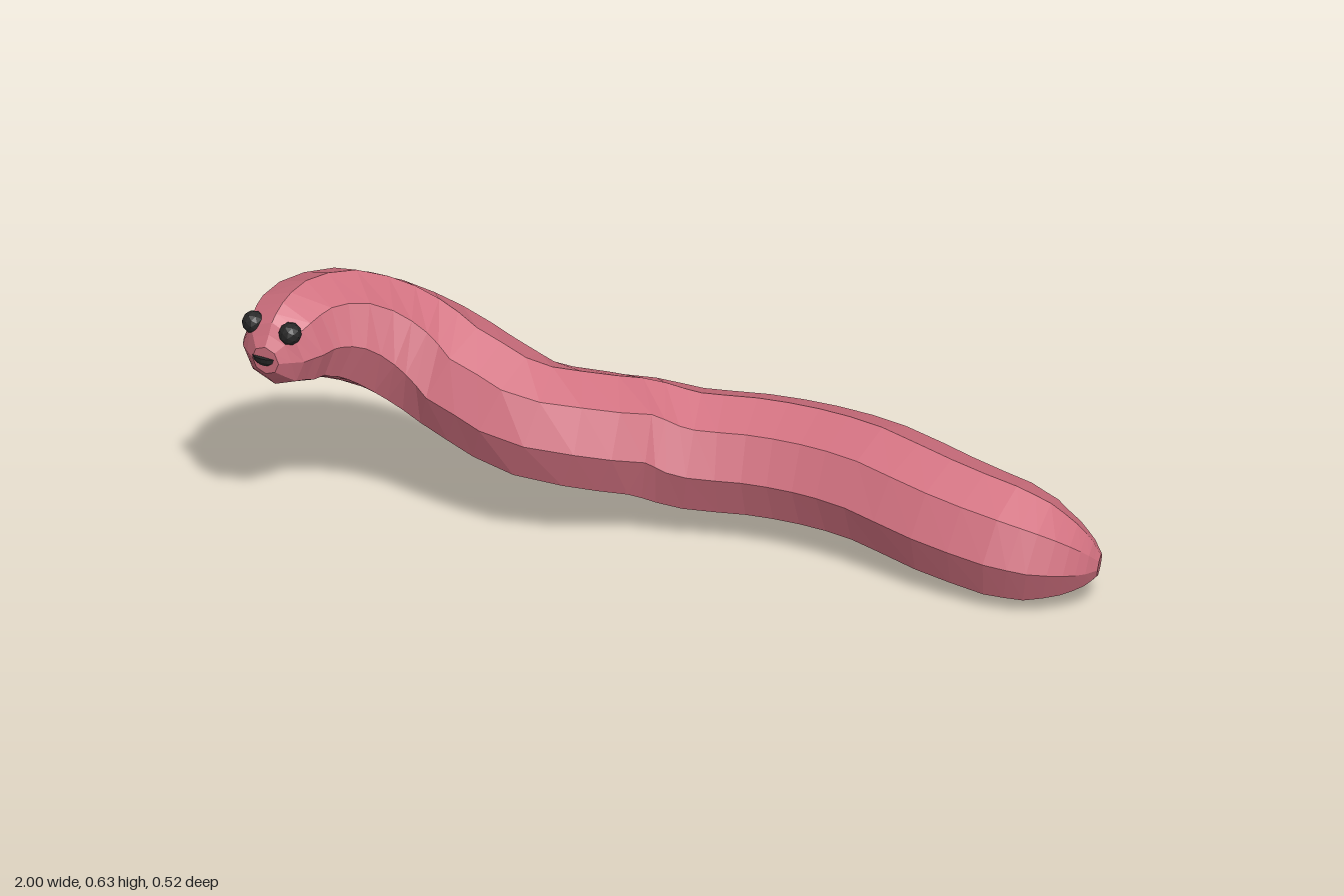
import * as THREE from 'three';

const SIDES = 8;

// Spine from head to tail: x, y, z, radius
const SPINE = [
  [-0.928, 0.5, 0.247, 0.035],
  [-0.917, 0.502, 0.212, 0.083],
  [-0.9, 0.508, 0.165, 0.108],
  [-0.87, 0.513, 0.1, 0.124],
  [-0.8, 0.497, 0.026, 0.137],
  [-0.7, 0.448, -0.028, 0.142],
  [-0.6, 0.397, -0.042, 0.142],
  [-0.48, 0.345, -0.013, 0.143],
  [-0.35, 0.296, 0.01, 0.144],
  [-0.2, 0.257, -0.035, 0.146],
  [-0.1, 0.225, -0.086, 0.147],
  [0, 0.2, -0.104, 0.147],
  [0.15, 0.198, -0.112, 0.147],
  [0.3, 0.198, -0.092, 0.147],
  [0.45, 0.195, -0.045, 0.147],
  [0.62, 0.17, 0.022, 0.147],
  [0.78, 0.146, 0.066, 0.143],
  [0.86, 0.13, 0.074, 0.127],
  [0.93, 0.116, 0.073, 0.092],
  [0.975, 0.108, 0.071, 0.057],
  [0.998, 0.105, 0.07, 0.027],
];

// Eight-sided tube of varying radius, kept upright along the spine
function bodyGeometry() {
  const curve = new THREE.CatmullRomCurve3(SPINE.map(([x, y, z]) => new THREE.Vector3(x, y, z)));
  const steps = (SPINE.length - 1) * 2;
  const up = new THREE.Vector3(0, 1, 0);
  const pos = [], index = [];
  for (let i = 0; i <= steps; i++) {
    const u = i / steps;
    const k = Math.min(Math.floor(i / 2), SPINE.length - 2);
    const r = THREE.MathUtils.lerp(SPINE[k][3], SPINE[k + 1][3], i / 2 - k);
    const c = curve.getPoint(u);
    const t = curve.getTangent(u);
    const side = up.clone().cross(t).normalize();
    const top = t.clone().cross(side);
    for (let j = 0; j < SIDES; j++) {
      const a = (j / SIDES) * Math.PI * 2;
      const p = c.clone().addScaledVector(side, r * Math.cos(a)).addScaledVector(top, r * Math.sin(a));
      pos.push(p.x, p.y, p.z);
    }
  }
  for (let i = 0; i < steps; i++) {
    for (let j = 0; j < SIDES; j++) {
      const n = (j + 1) % SIDES;
      const a = i * SIDES + j, b = i * SIDES + n;
      index.push(a, b, b + SIDES, a, b + SIDES, a + SIDES);
    }
  }
  // End caps
  const last = steps * SIDES;
  for (let j = 1; j < SIDES - 1; j++) {
    index.push(0, j + 1, j, last, last + j, last + j + 1);
  }
  const g = new THREE.BufferGeometry();
  g.setAttribute('position', new THREE.Float32BufferAttribute(pos, 3));
  g.setIndex(index);
  g.computeVertexNormals();
  return g;
}

export function createModel() {
  const model = new THREE.Group();
  model.name = 'worm';
  const skin = new THREE.MeshStandardMaterial({ color: 0xd0707f, flatShading: true });
  const black = new THREE.MeshStandardMaterial({ color: 0x262626, flatShading: true });

  const add = (name, geometry, material, x = 0, y = 0, z = 0) => {
    const mesh = new THREE.Mesh(geometry, material);
    mesh.name = name;
    mesh.position.set(x, y, z);
    model.add(mesh);
    return mesh;
  };

  add('body', bodyGeometry(), skin);

  // Eyes
  const eye = new THREE.IcosahedronGeometry(0.027, 1);
  add('rightEye', eye, black, -0.97, 0.565, 0.188);
  add('leftEye', eye, black, -0.874, 0.567, 0.229);

  // Smiling mouth: lower half of a flattened ball, closed on top
  const profile = [[0.0001, -0.025], [0.017, -0.021], [0.028, -0.011], [0.032, 0], [0.0001, 0.001]];
  const mouth = add('mouth', new THREE.LatheGeometry(profile.map(([x, y]) => new THREE.Vector2(x, y)), 12),
    black, -0.932, 0.507, 0.238);
  mouth.scale.z = 0.55;
  mouth.rotation.y = -0.3;

  return model;
}
